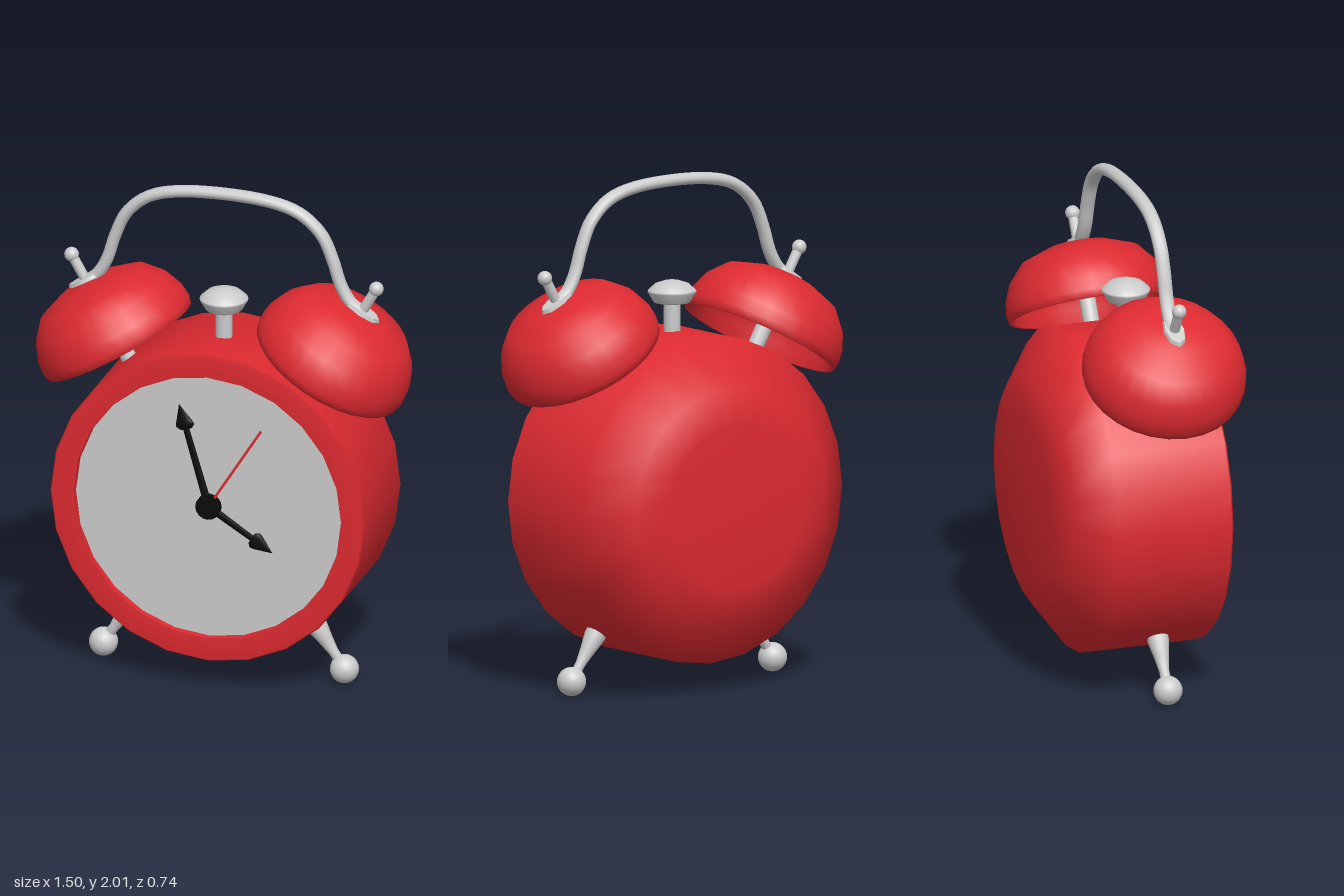
import * as THREE from 'three';

const red = new THREE.MeshStandardMaterial({ color: 0xdd2a30 });
const redShell = new THREE.MeshStandardMaterial({ color: 0xdd2a30, side: THREE.DoubleSide });
const grey = new THREE.MeshStandardMaterial({ color: 0xcccccc });
const black = new THREE.MeshStandardMaterial({ color: 0x0a0a0a });

const CENTER_Y = 0.755;
const MID_Z = 0.05; // plane shared by legs, bells and handle

function part(parent, name, geometry, material, x = 0, y = 0, z = 0) {
  const mesh = new THREE.Mesh(geometry, material);
  mesh.name = name;
  mesh.position.set(x, y, z);
  parent.add(mesh);
  return mesh;
}

const lathe = (points, segments) =>
  new THREE.LatheGeometry(points.map(([r, y]) => new THREE.Vector2(r, y)), segments);

// Round case, dial and hands
function makeCase(clock) {
  const shell = lathe([
    [0, -0.37], [0.325, -0.37], [0.465, -0.33], [0.64, -0.2], [0.64, 0.26],
    [0.632, 0.27], [0.545, 0.27], [0.543, 0.265], [0.543, 0.235],
  ], 24).rotateX(Math.PI / 2);
  part(clock, 'case', shell, red, 0, CENTER_Y, 0);
  part(clock, 'dial', new THREE.CircleGeometry(0.545, 24), grey, 0, CENTER_Y, 0.24);

  const hub = new THREE.CylinderGeometry(0.05, 0.05, 0.028, 16).rotateX(Math.PI / 2);
  part(clock, 'handHub', hub, black, 0, CENTER_Y, 0.252);
  makeHand(clock, 'minuteHand', -0.12, 0.415, 0.105);
  makeHand(clock, 'hourHand', 0.26, -0.165, 0.1);

  const length = Math.hypot(0.215, 0.34);
  const second = new THREE.BoxGeometry(0.01, length, 0.005).translate(0, length / 2, 0);
  part(clock, 'secondHand', second, red, 0, CENTER_Y, 0.258).rotation.z = -Math.atan2(0.215, 0.34);
}

// Flattened shaft with an arrow head, pointing at (dx, dy) from the hub
function makeHand(clock, name, dx, dy, headLength) {
  const hand = new THREE.Group();
  hand.name = name;
  hand.position.set(0, CENTER_Y, 0.252);
  hand.rotation.z = -Math.atan2(dx, dy);
  hand.scale.z = 0.3;
  const length = Math.hypot(dx, dy);
  const shaft = length - headLength;
  part(hand, name + 'Shaft', new THREE.CylinderGeometry(0.013, 0.017, shaft, 8), black, 0, shaft / 2, 0);
  const head = lathe([[0, 0], [0.025, 0], [0.038, 0.014], [0.034, 0.03], [0, headLength]], 12);
  part(hand, name + 'Head', head, black, 0, shaft, 0);
  clock.add(hand);
}

// Bell with its post, clamp and knob, built along its own tilted axis
function makeBell(side) {
  const bell = new THREE.Group();
  bell.name = 'bell';
  bell.position.set(0.425, 1.3225, 0);
  bell.rotation.z = -Math.PI / 6;
  const dome = lathe([
    [0, 0.25], [0.09, 0.243], [0.21, 0.2], [0.27, 0.135], [0.298, 0.06], [0.302, 0],
    [0.317, 0], [0.323, 0.03], [0.318, 0.08], [0.29, 0.15], [0.23, 0.22], [0.12, 0.262], [0, 0.272],
  ], 28);
  part(bell, 'bellDome', dome, redShell);
  part(bell, 'bellPost', new THREE.CylinderGeometry(0.032, 0.032, 0.4, 14), grey, 0, 0.06, 0);
  part(bell, 'bellStud', new THREE.CylinderGeometry(0.02, 0.02, 0.12, 12), grey, 0, 0.325, 0);
  part(bell, 'bellKnob', new THREE.SphereGeometry(0.029, 14, 10), grey, 0, 0.39, 0);
  // flattened handle end held under the stud
  const clamp = new THREE.CylinderGeometry(0.045, 0.05, 0.014, 8);
  clamp.scale(1.6, 1, 0.85);
  part(bell, 'handleClamp', clamp, grey, 0.0, 0.279, 0);
  side.add(bell);
}

// Tapered leg ending in a ball foot
function makeLeg(side) {
  const foot = new THREE.Vector3(0.49, 0.06, 0);
  const top = new THREE.Vector3(0.345, 0.275, 0);
  const axis = top.clone().sub(foot);
  const profile = [[0.02, 0], [0.02, 0.08], [0.03, 0.14], [0.042, 0.2], [0.042, axis.length()]];
  const leg = part(side, 'leg', lathe(profile, 16), grey, foot.x, foot.y, 0);
  leg.quaternion.setFromUnitVectors(new THREE.Vector3(0, 1, 0), axis.normalize());
  part(side, 'foot', new THREE.SphereGeometry(0.057, 20, 14), grey, foot.x, foot.y, 0);
}

// Carrying handle arching over both bells
function makeHandle(clock) {
  const half = [[0.56, 1.558], [0.515, 1.592], [0.475, 1.66], [0.443, 1.76], [0.397, 1.86], [0.31, 1.937], [0.17, 1.976]];
  const points = [
    ...half.map(([x, y]) => new THREE.Vector3(-x, y, 0)),
    ...half.slice().reverse().map(([x, y]) => new THREE.Vector3(x, y, 0)),
  ];
  const tube = new THREE.TubeGeometry(new THREE.CatmullRomCurve3(points), 56, 0.024, 12, false);
  tube.scale(1, 1, 1.2);
  part(clock, 'handle', tube, grey, 0, 0, MID_Z);
}

// Alarm stop button
function makeButton(clock) {
  part(clock, 'buttonStem', new THREE.CylinderGeometry(0.033, 0.033, 0.16, 16), grey, 0, 1.44, MID_Z);
  const cap = lathe([
    [0, 1.505], [0.07, 1.505], [0.074, 1.51], [0.095, 1.545], [0.094, 1.553], [0.066, 1.578], [0.03, 1.59], [0, 1.592],
  ], 20);
  part(clock, 'buttonCap', cap, grey, 0, 0, MID_Z);
}

export function createModel() {
  const clock = new THREE.Group();
  clock.name = 'alarmClock';
  makeCase(clock);
  makeHandle(clock);
  makeButton(clock);
  // each side is symmetric front to back, so a half turn mirrors it
  for (const [name, turn] of [['left', 0], ['right', Math.PI]]) {
    const side = new THREE.Group();
    side.name = name + 'Side';
    side.position.z = MID_Z;
    side.rotation.y = turn;
    makeBell(side);
    makeLeg(side);
    clock.add(side);
  }
  return clock;
}
